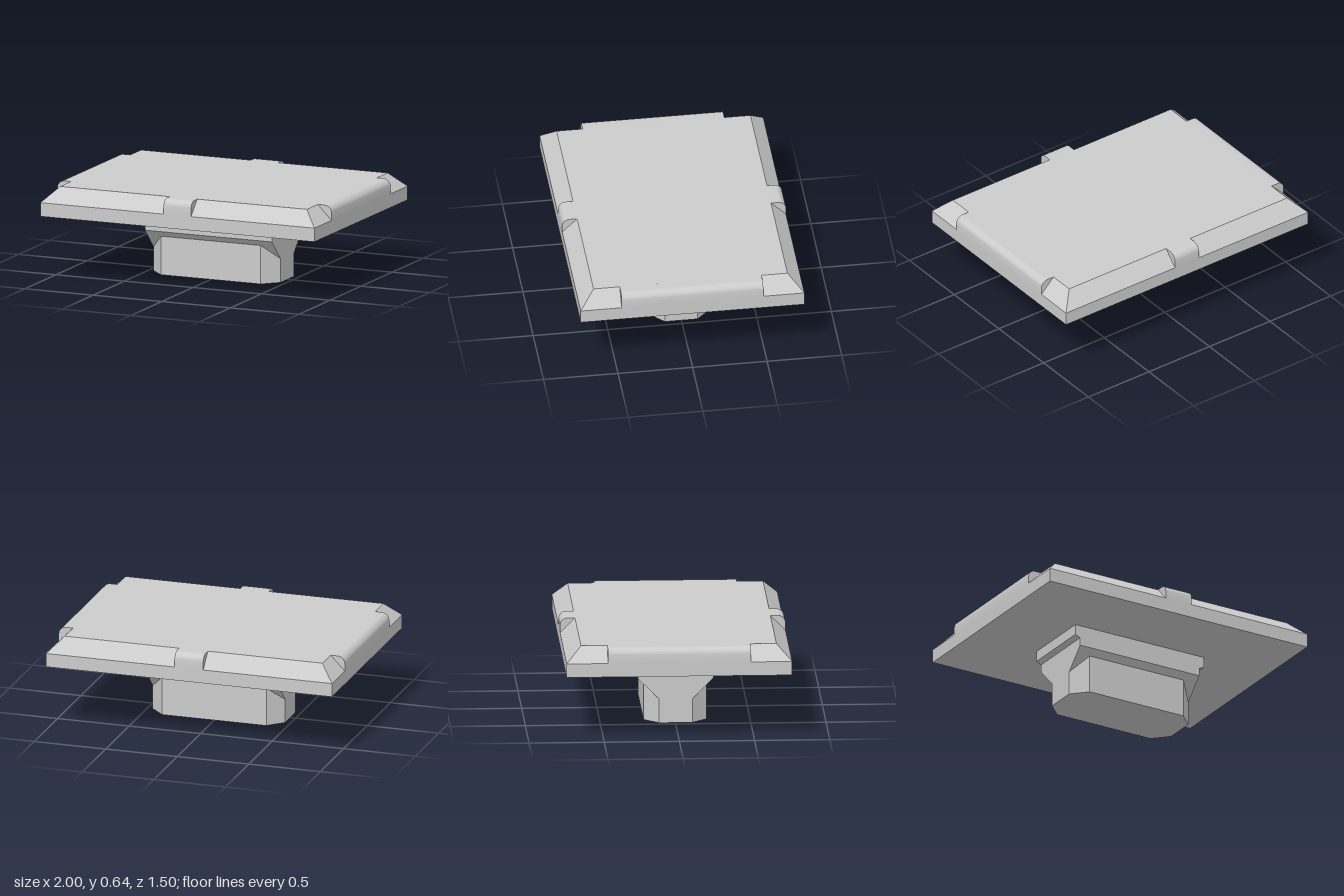
import * as THREE from 'three';
import { toCreasedNormals } from 'three/addons/utils/BufferGeometryUtils.js';
import { ConvexGeometry } from 'three/addons/geometries/ConvexGeometry.js';

const material = new THREE.MeshStandardMaterial({ color: 0xcccccc });

function addMesh(parent, name, geometry) {
  const mesh = new THREE.Mesh(geometry, material);
  mesh.name = name;
  parent.add(mesh);
  return mesh;
}

// Convex solid through stacked rectangles, each [y, half width, half depth]
function stackedRectangles(levels) {
  const points = [];
  for (const [y, x, z] of levels)
    for (const sx of [-1, 1])
      for (const sz of [-1, 1]) points.push(new THREE.Vector3(sx * x, y, sz * z));
  return new ConvexGeometry(points);
}

// Rounded edge filling the chamfer; profile faces +x, length runs along z
function roundedEdge(length) {
  const c = 0.1, r = 0.05;
  const shape = new THREE.Shape();
  shape.moveTo(-c, c);
  shape.lineTo(0, 0);
  shape.lineTo(0, c - r);
  shape.absarc(-r, c - r, r, 0, Math.PI / 2, false);
  shape.lineTo(-c, c);
  const geometry = new THREE.ExtrudeGeometry(shape, { depth: length, bevelEnabled: false, curveSegments: 12 });
  geometry.translate(0, 0, -length / 2);
  return toCreasedNormals(geometry, 0.5);
}

function extrudeOutline(points, depth) {
  const shape = new THREE.Shape(points.map(([x, y]) => new THREE.Vector2(x, y)));
  return new THREE.ExtrudeGeometry(shape, { depth, bevelEnabled: false });
}

export function createModel() {
  const model = new THREE.Group();
  model.name = 'plateOnStem';

  // Wide plate with chamfered top edges
  const plate = new THREE.Group();
  plate.name = 'plate';
  model.add(plate);
  const chamferY = 0.537;
  addMesh(plate, 'plateBody', stackedRectangles([
    [0.444, 1, 0.75], [chamferY, 1, 0.75], [0.637, 0.9, 0.65],
  ]));

  // Rounded sections that interrupt the chamfer on all four sides
  for (const s of [1, -1]) {
    const side = addMesh(plate, s > 0 ? 'leftRoundedEdge' : 'rightRoundedEdge', roundedEdge(0.95));
    side.position.set(s, chamferY, 0);
    side.rotation.y = s > 0 ? 0 : Math.PI;
    const tab = addMesh(plate, s > 0 ? 'frontRoundedTab' : 'backRoundedTab', roundedEdge(0.2));
    tab.position.set(0, chamferY, s * 0.75);
    tab.rotation.y = -s * Math.PI / 2;
  }

  // Stem under the plate
  const stem = new THREE.Group();
  stem.name = 'stem';
  stem.position.z = 0.002;
  model.add(stem);
  addMesh(stem, 'collar', stackedRectangles([
    [0.356, 0.463, 0.25], [0.372, 0.5, 0.25], [0.444, 0.5, 0.25],
  ]));
  addMesh(stem, 'taperedBlock', stackedRectangles([
    [0.162, 0.463, 0.11], [0.302, 0.463, 0.25], [0.356, 0.463, 0.25],
  ]));

  // Foot with cut corners
  const foot = extrudeOutline([
    [0.364, -0.21], [0.463, -0.11], [0.463, 0.11], [0.364, 0.21],
    [-0.364, 0.21], [-0.463, 0.11], [-0.463, -0.11], [-0.364, -0.21],
  ], 0.28);
  foot.rotateX(-Math.PI / 2);
  addMesh(stem, 'foot', foot);

  return model;
}
